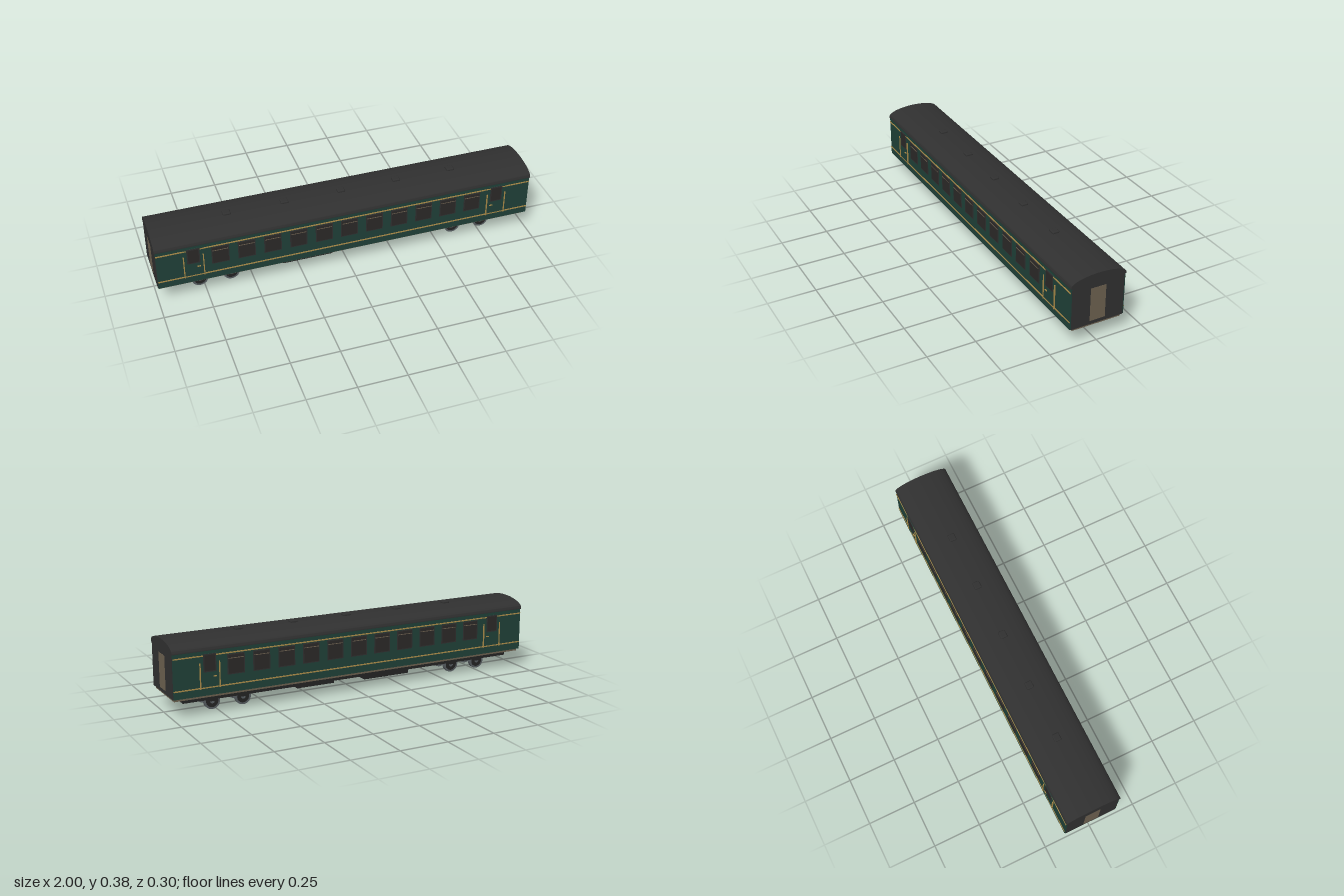
import * as THREE from 'three';
import { toCreasedNormals } from 'three/addons/utils/BufferGeometryUtils.js';
import { RoundedBoxGeometry } from 'three/addons/geometries/RoundedBoxGeometry.js';

const mat = (name, color) => {
  const m = new THREE.MeshStandardMaterial({ color });
  m.name = name;
  return m;
};

export function createModel() {
  const green = mat('coach green', 0x1f4038);
  const charcoal = mat('roof charcoal', 0x303030);
  const black = mat('underframe black', 0x232323);
  const glass = mat('window glass', 0x2b2827);
  const gold = mat('gold lining', 0xa98a48);
  const tan = mat('tan trim', 0x6c604f);
  const steel = mat('wheel steel', 0x565c60);

  const model = new THREE.Group();
  model.name = 'railwayCoach';

  const add = (parent, name, geometry, material, x = 0, y = 0, z = 0) => {
    const mesh = new THREE.Mesh(geometry, material);
    mesh.name = name;
    mesh.position.set(x, y, z);
    parent.add(mesh);
    return mesh;
  };
  // Box given by its limits on each axis
  const box = (parent, name, material, x0, x1, y0, y1, z0, z1) =>
    add(parent, name, new THREE.BoxGeometry(x1 - x0, y1 - y0, z1 - z0), material,
      (x0 + x1) / 2, (y0 + y1) / 2, (z0 + z1) / 2);

  // Body shell and frame
  box(model, 'body', green, -0.996, 0.996, 0.1, 0.326, -0.145, 0.145);
  box(model, 'floorTrim', tan, -0.99, 0.99, 0.086, 0.1, -0.13, 0.13);
  box(model, 'underframe', black, -0.935, 0.935, 0.06, 0.086, -0.097, 0.097);

  // Arched roof
  const arch = new THREE.Shape();
  arch.moveTo(-0.147, 0.323);
  arch.lineTo(0.147, 0.323);
  arch.lineTo(0.147, 0.33);
  arch.absellipse(0, 0.33, 0.147, 0.042, 0, Math.PI, false);
  arch.closePath();
  const roofGeometry = new THREE.ExtrudeGeometry(arch, { depth: 2, bevelEnabled: false, curveSegments: 32 });
  roofGeometry.translate(0, 0, -1);
  roofGeometry.rotateY(Math.PI / 2);
  add(model, 'roof', toCreasedNormals(roofGeometry, 0.6), charcoal);

  // Roof vents
  for (let i = -2; i <= 2; i++) {
    add(model, 'roofVent', new RoundedBoxGeometry(0.04, 0.016, 0.037, 3, 0.006), charcoal, i * 0.3, 0.374, 0);
  }

  // End walls with gangway doors
  for (const s of [-1, 1]) {
    const end = new THREE.Group();
    end.name = s > 0 ? 'leftEnd' : 'rightEnd';
    end.rotation.y = s > 0 ? 0 : Math.PI;
    box(end, 'endWall', charcoal, 0.99, 0.999, 0.1, 0.325, -0.139, 0.139);
    box(end, 'gangwayDoor', tan, 0.994, 1, 0.118, 0.296, -0.041, 0.041);
    model.add(end);
  }

  // One complete side, facing +z
  const buildSide = (name) => {
    const side = new THREE.Group();
    side.name = name;
    for (const y of [0.14, 0.3]) {
      box(side, 'liningStripe', gold, -0.995, 0.995, y - 0.003, y + 0.003, 0.144, 0.148);
    }
    // Passenger windows with a sliding-vent rail
    for (let i = -5; i <= 5; i++) {
      const x = i * 0.1347;
      box(side, 'windowFrame', charcoal, x - 0.045, x + 0.045, 0.19, 0.293, 0.144, 0.148);
      box(side, 'windowPane', glass, x - 0.04, x + 0.04, 0.195, 0.288, 0.145, 0.149);
      box(side, 'windowRail', tan, x - 0.04, x + 0.04, 0.27, 0.2735, 0.146, 0.15);
    }
    // Entrance doors
    for (const s of [-1, 1]) {
      const x = s * 0.81;
      box(side, 'doorPanel', green, x - 0.049, x + 0.049, 0.115, 0.31, 0.144, 0.147);
      box(side, 'doorWindowFrame', charcoal, x - 0.033, x + 0.033, 0.218, 0.308, 0.144, 0.149);
      box(side, 'doorWindow', glass, x - 0.027, x + 0.027, 0.224, 0.302, 0.145, 0.15);
      for (const e of [-1, 1]) {
        const railX = x + e * 0.05;
        box(side, 'doorRail', gold, railX - 0.0025, railX + 0.0025, 0.135, 0.266, 0.144, 0.151);
      }
      box(side, 'doorHandle', gold, s * 0.785 - 0.008, s * 0.785 + 0.008, 0.192, 0.197, 0.144, 0.151);
    }
    model.add(side);
    return side;
  };
  buildSide('frontSide');
  buildSide('backSide').rotation.y = Math.PI;

  // Equipment boxes under the floor
  box(model, 'batteryBox', black, -0.335, -0.07, 0.034, 0.062, -0.075, 0.075);
  box(model, 'tankBox', black, 0.09, 0.3, 0.03, 0.062, -0.042, 0.042);

  // Wheelsets: steel tyres, dark discs, hubs and axles
  const cylinder = (r, w) => new THREE.CylinderGeometry(r, r, w, 28).rotateX(Math.PI / 2);
  for (const x of [-0.772, -0.608, 0.608, 0.772]) {
    const wheelset = new THREE.Group();
    wheelset.name = 'wheelset';
    wheelset.position.set(x, 0.042, 0);
    add(wheelset, 'axle', cylinder(0.008, 0.12), black);
    for (const s of [-1, 1]) {
      add(wheelset, 'tyre', cylinder(0.042, 0.018), steel, 0, 0, s * 0.057);
      add(wheelset, 'wheelDisc', cylinder(0.032, 0.02), black, 0, 0, s * 0.057);
      add(wheelset, 'hub', cylinder(0.012, 0.024), steel, 0, 0, s * 0.057);
      add(wheelset, 'axleBox', new THREE.BoxGeometry(0.035, 0.014, 0.018), black, 0, 0.012, s * 0.076);
    }
    model.add(wheelset);
  }
  return model;
}
